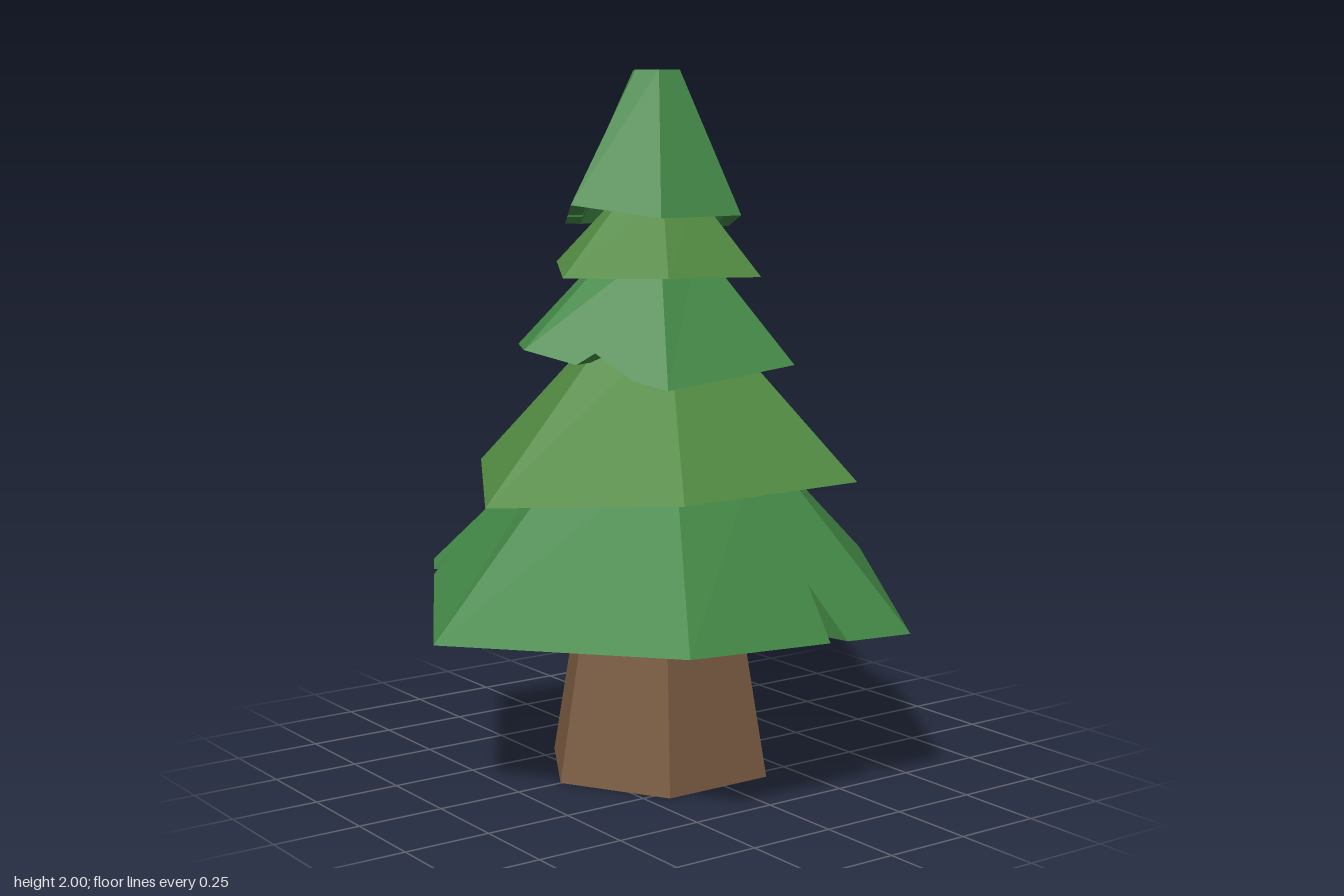
import * as THREE from 'three';

const DARK = 0x438746, LIGHT = 0x528a42, BARK = 0x7a5c42;

// Each tier is a six-sided skirt: rim and top are [x, z, radius].
// Rim corner heights run from the front corner round by +x.
// A notch is [panel, start, tip, end, depth], as fractions of that panel.
const TIERS = [
  {
    name: 'bottomBranches', color: DARK, rim: [0, 0.01, 0.755], top: [0, 0, 0.3], topY: 0.97,
    heights: [0.46, 0.5, 0.46, 0.55, 0.46, 0.54],
    notches: [[1, 0.62, 0.66, 0.7, 0.29], [3, 0.79, 0.86, 0.85, 0.29], [5, 0.13, 0.12, 0.2, 0.17]],
  },
  {
    name: 'lowerBranches', color: LIGHT, rim: [0.012, 0.015, 0.59], top: [0.01, 0.01, 0.175], topY: 1.29,
    heights: [0.82, 0.87, 0.875, 0.83, 0.78, 0.86],
    notches: [[2, 0.76, 0.87, 0.82, 0.15], [4, 0.67, 0.75, 0.82, 0.14]],
  },
  {
    name: 'middleBranches', color: DARK, rim: [-0.015, 0.028, 0.432], top: [-0.01, 0.02, 0.13], topY: 1.52,
    heights: [1.24, 1.15, 1.19, 1.15, 1.2, 1.21],
    notches: [[0, 0.37, 0.46, 0.76, 0.12], [4, 0.73, 0.74, 0.8, 0.19]],
  },
  {
    name: 'upperBranches', color: LIGHT, rim: [-0.008, 0.018, 0.318], top: [-0.01, 0.01, 0.115], topY: 1.66,
    heights: [1.43, 1.44, 1.43, 1.43, 1.44, 1.455],
    notches: [],
  },
  {
    name: 'treeTop', color: DARK, rim: [-0.014, 0.032, 0.273], top: [-0.035, 0, 0.072], topY: 2,
    heights: [1.63, 1.6, 1.6, 1.555, 1.57, 1.565],
    notches: [[5, 0.36, 0.42, 0.48, 0.11]],
  },
];

// Six corners of a hexagon, with a height for each
const hexRing = ([x, z, r], heights, scale = 1) => heights.map((y, i) => {
  const a = (i * Math.PI) / 3;
  return new THREE.Vector3(x + r * scale * Math.sin(a), y, z + r * scale * Math.cos(a));
});

function tierGeometry({ rim, top, topY, heights, notches }) {
  const innerY = topY - 0.1;
  const outerRim = hexRing(rim, heights);
  const innerRim = hexRing(rim, heights, 0.82);
  const outerTop = hexRing(top, Array(6).fill(topY));
  const innerTop = hexRing(top, Array(6).fill(innerY), 0.8);

  const positions = [];
  const tri = (...corners) => corners.forEach((p) => positions.push(p.x, p.y, p.z));

  for (let i = 0; i < 6; i++) {
    const j = (i + 1) % 6;
    const place = (low, high) => ([t, d]) =>
      low[i].clone().lerp(low[j], t).lerp(high[i].clone().lerp(high[j], t), d);

    // Notched panel, outside and inside
    const cuts = notches
      .filter(([panel]) => panel === i)
      .flatMap(([, start, tip, end, depth]) => [[start, 0], [tip, depth], [end, 0]]);
    const edge = [[0, 0], ...cuts, [1, 0]];
    const outline = [...edge, [1, 1], [0, 1]];
    const outer = outline.map(place(outerRim, outerTop));
    const inner = outline.map(place(innerRim, innerTop));
    const faces = THREE.ShapeUtils.triangulateShape(outline.map((p) => new THREE.Vector2(...p)), []);
    for (const [a, b, c] of faces) {
      tri(outer[a], outer[b], outer[c]);
      tri(inner[a], inner[c], inner[b]);
    }

    // Lip under the rim, following the notches
    for (let k = 0; k < edge.length - 1; k++) {
      tri(outer[k], inner[k], inner[k + 1]);
      tri(outer[k], inner[k + 1], outer[k + 1]);
    }

    // Caps over the top, above and below
    tri(outerTop[i], outerTop[j], new THREE.Vector3(top[0], topY, top[1]));
    tri(innerTop[j], innerTop[i], new THREE.Vector3(top[0], innerY, top[1]));
  }

  const geometry = new THREE.BufferGeometry();
  geometry.setAttribute('position', new THREE.Float32BufferAttribute(positions, 3));
  geometry.computeVertexNormals();
  return geometry;
}

export function createModel() {
  const model = new THREE.Group();
  model.name = 'pineTree';

  const add = (name, geometry, color) => {
    const mesh = new THREE.Mesh(geometry, new THREE.MeshStandardMaterial({ color, flatShading: true }));
    mesh.name = name;
    model.add(mesh);
    return mesh;
  };

  // Tapered six-sided trunk
  add('trunk', new THREE.CylinderGeometry(0.2, 0.34, 0.8, 6), BARK).position.set(0, 0.4, 0.02);

  // Branch tiers from the bottom up
  for (const tier of TIERS) add(tier.name, tierGeometry(tier), tier.color);

  return model;
}
